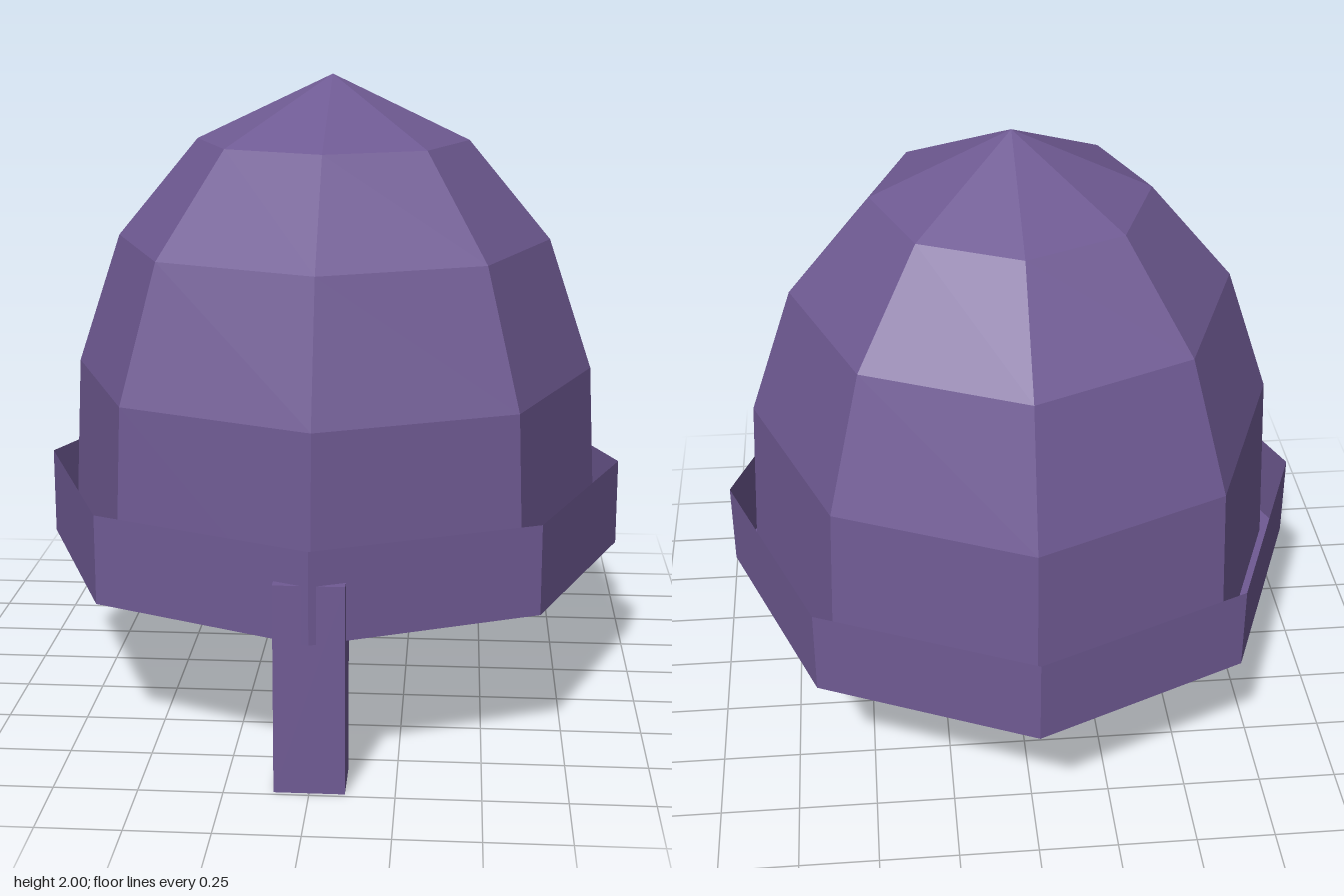
import * as THREE from 'three';

const SIDES = 8;
const DEPTH_STRETCH = 1.055; // slightly longer front to back

export function createModel() {
  const group = new THREE.Group();
  const purple = new THREE.MeshStandardMaterial({
    color: 0x6f5a93, flatShading: true, side: THREE.DoubleSide,
  });
  purple.name = 'mutedPurple';

  const add = (name, geometry, y = 0, z = 0) => {
    const mesh = new THREE.Mesh(geometry, purple);
    mesh.name = name;
    mesh.position.set(0, y, z);
    group.add(mesh);
    return mesh;
  };

  // Eight-sided faceted dome, continuing down inside the rim
  const profile = [[0.872, 0.46], [0.842, 1.055], [0.7, 1.477], [0.437, 1.793], [0, 2]]
    .map(([r, y]) => new THREE.Vector2(r, y));
  add('dome', new THREE.LatheGeometry(profile, SIDES)).scale.z = DEPTH_STRETCH;

  // Rim: a thin upright wall with an open top
  const rimRadius = 0.944;
  add('rimWall', new THREE.CylinderGeometry(rimRadius, rimRadius, 0.28, SIDES, 1, true), 0.6)
    .scale.z = DEPTH_STRETCH;

  // Flat floor closing the underside
  const floor = new THREE.CircleGeometry(rimRadius, SIDES);
  floor.rotateX(Math.PI / 2);
  add('rimFloor', floor, 0.46).scale.z = DEPTH_STRETCH;

  // Nose guard hanging from the front corner of the rim
  add('noseGuard', new THREE.BoxGeometry(0.208, 0.635, 0.173), 0.3175, 0.9);

  return group;
}
